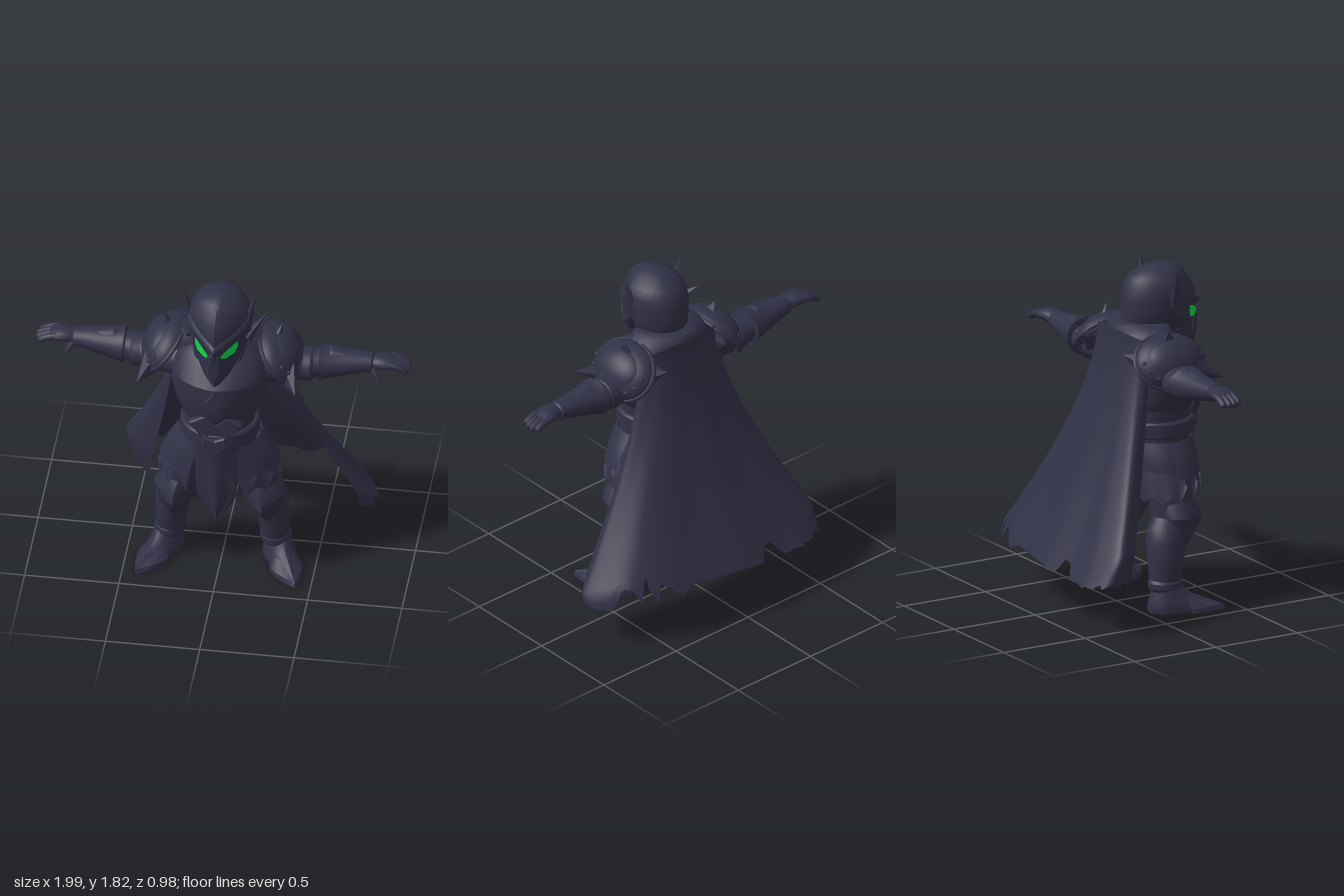
import * as THREE from 'three';
import { toCreasedNormals } from 'three/addons/utils/BufferGeometryUtils.js';

const V = (x, y, z) => new THREE.Vector3(x, y, z);
const armour = new THREE.MeshStandardMaterial({ color: 0x313147, side: THREE.DoubleSide });
armour.name = 'darkArmour';
const glow = new THREE.MeshStandardMaterial({ color: 0x0edc4a, side: THREE.DoubleSide });
glow.name = 'greenGlow';
const SEG = 28;
const hash = n => { const s = Math.sin(n * 127.1 + 3.7) * 43758.5453; return s - Math.floor(s); };

function add(group, name, geo, mat = armour) {
  const mesh = new THREE.Mesh(geo, mat);
  mesh.name = name;
  group.add(mesh);
  return mesh;
}

function build(pos, idx, crease = 0.7) {
  const g = new THREE.BufferGeometry();
  g.setAttribute('position', new THREE.Float32BufferAttribute(pos.flatMap(p => [p.x, p.y, p.z]), 3));
  g.setIndex(idx);
  return toCreasedNormals(g, crease);
}

// Closed skin over a series of equal rings, capped at both ends
function loft(rings, crease) {
  const n = rings[0].length, pos = rings.flat(), idx = [];
  for (let j = 0; j < rings.length - 1; j++) for (let i = 0; i < n; i++) {
    const a = j * n + i, b = j * n + (i + 1) % n;
    idx.push(a, b, b + n, a, b + n, a + n);
  }
  [0, rings.length - 1].forEach((j, end) => {
    const c = pos.length;
    pos.push(rings[j].reduce((s, p) => s.add(p), V(0, 0, 0)).divideScalar(n));
    for (let i = 0; i < n; i++) {
      const a = j * n + i, b = j * n + (i + 1) % n;
      end ? idx.push(c, a, b) : idx.push(c, b, a);
    }
  });
  return build(pos, idx, crease);
}

// Open sheet from a rule fn(u, v)
function sheet(fn, nu, nv, crease) {
  const pos = [], idx = [];
  for (let j = 0; j <= nv; j++) for (let i = 0; i <= nu; i++) pos.push(fn(i / nu, j / nv));
  for (let j = 0; j < nv; j++) for (let i = 0; i < nu; i++) {
    const a = j * (nu + 1) + i, d = a + nu + 1;
    idx.push(a, a + 1, d + 1, a, d + 1, d);
  }
  return build(pos, idx, crease);
}

// Level section: front half may be pinched to a keel by pt
const levelPoint = ([y, cx, cz, rx, zf, zb = zf, pt = 0], a) => {
  const s = Math.sin(a), c = Math.cos(a);
  return V(cx + rx * s, y, cz + (c > 0 ? zf * (c * (1 - pt) + pt * (1 - Math.abs(s))) : zb * c));
};
const angles = Array.from({ length: SEG }, (_, i) => i / SEG * Math.PI * 2);
const stack = (rows, crease) => loft(rows.map(r => angles.map(a => levelPoint(r, a))), crease);
const along = (rows, crease) => loft(rows.map(([x, cy, cz, ry, rz]) =>
  angles.map(a => V(x, cy + ry * Math.cos(a), cz + rz * Math.sin(a)))), crease);

function spike(group, name, base, tip, r, flatX = 1, sides = 6) {
  const d = tip.clone().sub(base), g = new THREE.ConeGeometry(r, d.length(), sides);
  g.translate(0, d.length() / 2, 0).scale(flatX, 1, 1);
  const m = add(group, name, toCreasedNormals(g, 0.5));
  m.position.copy(base);
  m.quaternion.setFromUnitVectors(V(0, 1, 0), d.normalize());
}

function plate(points, depth = 0.02) {
  const s = new THREE.Shape(points.map(p => new THREE.Vector2(...p)));
  return new THREE.ExtrudeGeometry(s, { depth, bevelEnabled: true, bevelSize: 0.008, bevelThickness: 0.008, bevelSegments: 1 });
}

const headRows = [
  [1.33, 0, .42, .03, .045, .03, .6], [1.37, 0, .385, .07, .085, .05, .6], [1.42, 0, .335, .105, .14, .09, .6],
  [1.48, 0, .27, .14, .21, .19, .6], [1.52, 0, .26, .155, .225, .21, .6], [1.58, 0, .26, .163, .23, .21, .6],
  [1.64, 0, .26, .168, .22, .21, .5], [1.7, 0, .265, .162, .185, .205, .4], [1.755, 0, .27, .135, .14, .18, .35],
  [1.79, 0, .28, .09, .095, .135, .3], [1.81, 0, .28, .04, .05, .07, .2], [1.817, 0, .28, .01, .01]];
function headPoint(y, a) {
  const j = Math.max(0, headRows.findIndex((r, i) => i && r[0] >= y) - 1);
  const A = headRows[j], B = headRows[j + 1], t = (y - A[0]) / (B[0] - A[0]);
  return levelPoint(A.map((v, k) => v + ((B[k] ?? 0) - v) * t), a);
}

function buildHead(g) {
  add(g, 'helmet', stack(headRows, 0.6));
  // Brow edge standing off the helmet
  add(g, 'brow', sheet((u, v) => {
    const a = (u - .5) * 2.4, y = 1.605 + .07 * Math.abs(a) - (v * .05);
    const p = headPoint(y, a), k = 1 + .08 * Math.sin(Math.PI * (.85 * v));
    return V(p.x * k, y, .26 + (p.z - .26) * k);
  }, 32, 6, 0.5));
  add(g, 'noseGuard', plate([[0, 1.55], [.02, 1.53], [.028, 1.44], [0, 1.36], [-.028, 1.44], [-.02, 1.53]], .012)).position.z = .458;
  add(g, 'neck', stack([[1.38, 0, .22, .15, .13], [1.52, 0, .22, .12, .14]]));
}

function buildHeadSide(g) {
  // Eye: thin face following the mask
  const outline = [[.034, 1.54], [.04, 1.518], [.062, 1.511], [.1, 1.52], [.114, 1.55], [.112, 1.588], [.07, 1.567]];
  const eye = new THREE.ShapeGeometry(new THREE.Shape(outline.map(p => new THREE.Vector2(...p))));
  const e = eye.attributes.position;
  for (let i = 0; i < e.count; i++) {
    const y = e.getY(i);
    e.setZ(i, headPoint(y, Math.asin(e.getX(i) / .163)).z + .014);
  }
  eye.computeVertexNormals();
  add(g, 'eye', eye, glow);
  spike(g, 'helmetHorn', V(.142, 1.6, .27), V(.19, 1.815, .26), .06, .55);
  spike(g, 'helmetEar', V(.145, 1.53, .28), V(.24, 1.635, .18), .055, .6);
  spike(g, 'cheekSpike', V(.12, 1.48, .3), V(.105, 1.34, .35), .03, .6);
}

function buildTorso(g) {
  add(g, 'waist', stack([[.8, 0, .22, .19, .18], [.9, 0, .23, .19, .19], [1, 0, .23, .185, .2], [1.1, 0, .24, .2, .18]]));
  add(g, 'breastplate', stack([[1.02, 0, .25, .17, .17, .17], [1.05, 0, .25, .2, .19, .2, .15], [1.13, 0, .25, .235, .21, .21, .15],
    [1.23, 0, .25, .255, .22, .21, .15], [1.3, 0, .245, .255, .22, .21, .1], [1.36, 0, .235, .24, .17, .2],
    [1.42, 0, .22, .2, .13, .19], [1.46, 0, .21, .15, .1, .16]], 0.5));
  add(g, 'chestDiamond', plate([[0, 1.29], [.045, 1.22], [0, 1.15], [-.045, 1.22]], .02)).position.z = .445;
  add(g, 'bellyPlate', plate([[-.13, 1.06], [-.06, 1.1], [0, 1.05], [.06, 1.1], [.13, 1.06], [.08, .99], [-.08, .99]], .03)).position.z = .405;
  add(g, 'belt', stack([[.9, 0, .24, .2, .195], [.91, 0, .24, .21, .205], [.98, 0, .24, .21, .205], [.99, 0, .24, .2, .195]], 0.4));
  add(g, 'buckle', plate([[-.05, .98], [0, .96], [.05, .98], [.06, .93], [0, .87], [-.06, .93]], .025)).position.z = .432;
  // Long pointed front cloth
  add(g, 'tabard', sheet((u, v) => {
    const s = u * 2 - 1, w = v < .65 ? .115 - .01 * v : .108 * (1 - (v - .65) / .36);
    return V(s * w, .89 - .52 * v, .43 - .04 * v - .035 * s * s + .012 * Math.cos(s * 6) * v);
  }, 16, 16, 0.8));
  // Cloth mantle closing the gap between neck and shoulders
  add(g, 'cloakMantle', stack([[1.37, 0, .17, .28, .12, .2], [1.43, 0, .17, .27, .12, .2], [1.48, 0, .17, .23, .11, .19],
    [1.515, 0, .18, .185, .09, .18], [1.525, 0, .19, .15, .07, .15]], 0.8));
}

// Skirt flap round the hip: angle a0..a1, flaring out, with a torn edge
const flap = (a0, a1, top, len, r0, r1, tear, seed) => sheet((u, v) => {
  const c = u * 6, f = c % 1, a = a0 + (a1 - a0) * u;
  const h = tear * (.3 + hash(Math.floor(c) + seed)) * (1 - Math.abs(2 * f - 1));
  const r = r0 + (r1 - r0) * v + .012 * Math.sin(v * Math.PI);
  return V(r * Math.sin(a), top - len * v + h * v ** 3, .225 + .2 * Math.cos(a) * (r / r0) ** .12);
}, 48, 8, 0.8);

function buildLeg(g) {
  add(g, 'hipCloth', flap(.5, 2.95, .86, .28, .21, .33, .11, 2));
  add(g, 'hipPlate', flap(.55, 1.75, .89, .18, .222, .32, 0, 7));
  add(g, 'rearHipPlate', flap(1.75, 2.9, .89, .15, .222, .29, 0, 11));
  add(g, 'thigh', stack([[.42, .215, .2, .09, .09], [.52, .205, .21, .105, .11], [.65, .18, .22, .125, .13], [.84, .12, .22, .12, .14]]));
  add(g, 'kneeGuard', stack([[.32, .25, .24, .02, .03, .03], [.38, .245, .23, .08, .09, .07, .5], [.45, .235, .22, .105, .16, .09, .6],
    [.5, .235, .22, .118, .15, .1, .5], [.57, .215, .22, .105, .12, .1, .3], [.61, .205, .22, .08, .09, .09]], 0.4));
  add(g, 'shinGuard', stack([[.14, .275, .13, .07, .085], [.17, .275, .135, .077, .09], [.27, .27, .14, .088, .1],
    [.38, .255, .15, .1, .108, .108, .15], [.45, .24, .16, .095, .1], [.5, .23, .18, .07, .08]]));
  add(g, 'ankleBand', stack([[.115, .28, .13, .07, .085], [.13, .28, .13, .083, .095], [.16, .278, .13, .082, .095], [.175, .277, .13, .07, .085]], 0.5));
  const foot = new THREE.Group();
  foot.name = 'foot';
  foot.position.set(.295, 0, .13);
  foot.rotation.y = .42;
  g.add(foot);
  add(foot, 'boot', stack([[0, 0, 0, .08, .305, .1, .45], [.025, 0, 0, .086, .305, .105, .45], [.06, 0, 0, .08, .22, .1, .4],
    [.095, 0, 0, .07, .13, .09, .3], [.14, 0, 0, .06, .08, .08]], 0.6));
  add(foot, 'toeCap', stack([[.005, 0, .13, .088, .18, .01, .5], [.03, 0, .125, .086, .165, .01, .45], [.075, 0, .1, .055, .06, .01, .3]], 0.5));
}

function buildArm(g) {
  add(g, 'upperArm', along([[.2, 1.3, .17, .1, .13], [.36, 1.29, .14, .09, .115], [.45, 1.285, .13, .08, .09], [.5, 1.29, .12, .075, .085], [.56, 1.3, .12, .065, .07]]));
  add(g, 'elbowBand', along([[.41, 1.28, .13, .075, .09], [.425, 1.28, .13, .088, .1], [.47, 1.285, .13, .085, .098], [.485, 1.285, .13, .075, .085]], 0.5));
  add(g, 'bracer', along([[.515, 1.3, .12, .075, .08], [.52, 1.3, .12, .1, .105], [.545, 1.3, .12, .09, .1], [.65, 1.31, .12, .07, .08],
    [.76, 1.32, .12, .052, .06], [.79, 1.32, .12, .05, .056], [.8, 1.32, .12, .038, .045]], 0.5));
  add(g, 'bracerPlate', along([[.54, 1.37, .12, .01, .04], [.58, 1.365, .12, .03, .05], [.72, 1.345, .12, .025, .035], [.78, 1.335, .12, .01, .01]], 0.5));
  add(g, 'palm', along([[.78, 1.32, .12, .035, .04], [.82, 1.33, .12, .037, .055], [.87, 1.335, .115, .034, .065], [.92, 1.325, .11, .022, .06]]));
  for (let i = 0; i < 4; i++) {
    const z = .066 + i * .03, x = .985 - Math.abs(i - 1.4) * .012;
    const curve = new THREE.QuadraticBezierCurve3(V(.87, 1.337, z), V(.93, 1.335, z), V(x, 1.305, z));
    add(g, 'finger', new THREE.TubeGeometry(curve, 8, .019, 8));
    add(g, 'fingertip', new THREE.SphereGeometry(.019, 8, 6)).position.set(x - .003, 1.305, z);
  }
  spike(g, 'thumb', V(.79, 1.31, .14), V(.835, 1.25, .2), .03, 1, 8);
}

function buildPauldron(g) {
  const pad = new THREE.Group();
  pad.name = 'shoulderPad';
  pad.position.set(.295, 1.355, .145);
  pad.rotation.z = -.9;
  g.add(pad);
  const dome = (name, r, h, rz, y) => {
    add(pad, name, new THREE.SphereGeometry(1, 28, 10, 0, Math.PI * 2, 0, Math.PI / 2).scale(r, h, rz)).position.y = y;
    add(pad, name + 'Rim', new THREE.TorusGeometry(1, .06, 8, 32).rotateX(Math.PI / 2).scale(r, .2, rz)).position.y = y;
  };
  dome('lowerPad', .162, .105, .205, .005);
  dome('upperPad', .125, .085, .165, .04);
  for (let i = 0; i < 9; i++) {
    const a = i / 8 * Math.PI - Math.PI / 2;
    add(pad, 'rivet', new THREE.SphereGeometry(.012, 8, 6)).position.set(.14 * Math.cos(a), .055, .178 * Math.sin(a));
  }
  // Raised neck edge and corner points
  spike(g, 'padCrest', V(.27, 1.4, .14), V(.315, 1.535, .13), .11, .5, 8);
  spike(g, 'frontPadSpike', V(.36, 1.31, .26), V(.42, 1.27, .405), .075, .7);
  spike(g, 'rearPadSpike', V(.26, 1.37, .03), V(.2, 1.41, -.085), .08, .7);
  spike(g, 'sidePadSpike', V(.38, 1.35, .16), V(.47, 1.3, .16), .08, .7);
}

function buildCape(g) {
  const hem = new THREE.CatmullRomCurve3([V(-.43, .17, -.2), V(-.54, .27, -.28), V(-.58, .29, -.38), V(-.46, .22, -.48), V(-.25, .25, -.46),
    V(0, .23, -.495), V(.25, .23, -.45), V(.5, .24, -.41), V(.64, .25, -.33), V(.77, .18, -.19), V(.79, .18, -.1), V(.7, .25, -.01)]);
  const shape = (u, row) => {
    // Torn hem: the cloth is cut back along its own surface
    const c = u * 11 + .5 * Math.sin(u * 19), f = c - Math.floor(c), h = hash(Math.floor(c) + 5);
    const tear = u > .06 && u < .97 ? .1 * h * (f < .7 ? f / .7 : (1 - f) / .3) + .025 * hash(Math.floor(c * 4) + 40) : 0;
    const v = row - tear * row ** 10;
    const b = hem.getPoint(u), s = (u * 2 - 1) * 1.35;
    const top = V(.255 * Math.sin(s), 1.5 - .05 * (1 - Math.cos(s)), .07 - .095 * Math.cos(s));
    const kx = Math.min(1, v / (.89 + .05 * u)) ** 1.45, kz = v ** 1.5, fold = .004 * Math.sin(u * 30) * v * v;
    return V(top.x + (b.x - top.x) * kx, top.y + (b.y - top.y) * v, top.z + (b.z - top.z) * kz + fold);
  };
  add(g, 'cape', sheet((u, v) => shape(1 - u, 1 - v), 136, 32, 1.0));
}

export function createModel() {
  const model = new THREE.Group();
  model.name = 'armouredKnight';
  for (const part of [buildHead, buildTorso, buildCape]) part(model);
  for (const side of [1, -1]) {
    const half = new THREE.Group();
    half.name = side > 0 ? 'leftSide' : 'rightSide';
    for (const part of [buildHeadSide, buildPauldron, buildArm, buildLeg]) part(half);
    half.scale.x = side;
    model.add(half);
  }
  return model;
}
